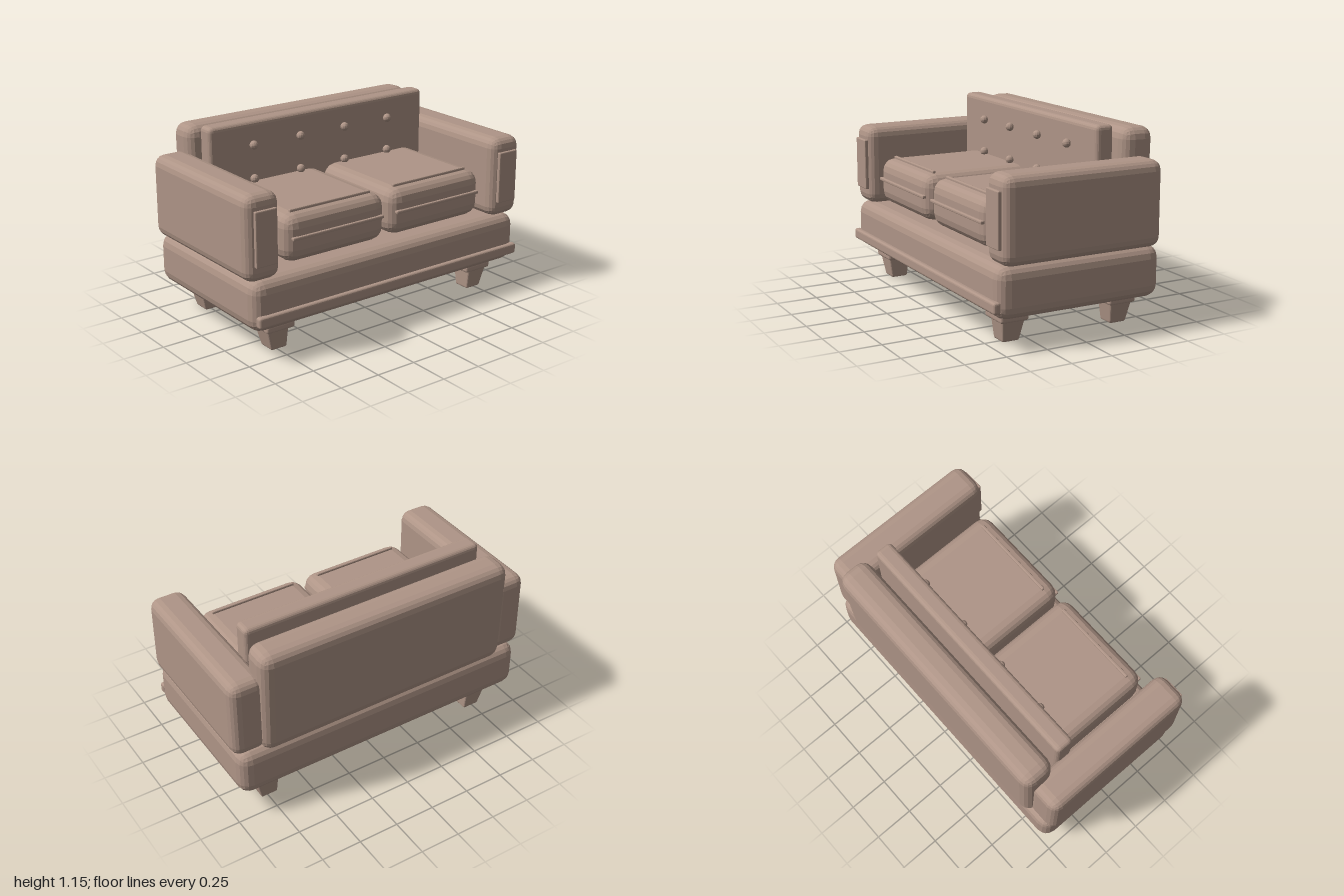
import * as THREE from 'three';
import { RoundedBoxGeometry } from 'three/addons/geometries/RoundedBoxGeometry.js';

export function createModel() {
  const sofa = new THREE.Group();
  sofa.name = 'sofa';
  const upholstery = new THREE.MeshStandardMaterial({ color: 0xaf9587, flatShading: true });
  upholstery.name = 'upholstery';

  const add = (name, geometry) => {
    const mesh = new THREE.Mesh(geometry, upholstery);
    mesh.name = name;
    sofa.add(mesh);
    return mesh;
  };
  // Rounded block given by its [min, max] extents
  const block = (name, [x0, x1], [y0, y1], [z0, z1], radius, segments = 2) => {
    const mesh = add(name, new RoundedBoxGeometry(x1 - x0, y1 - y0, z1 - z0, segments, radius));
    mesh.position.set((x0 + x1) / 2, (y0 + y1) / 2, (z0 + z1) / 2);
    return mesh;
  };
  const span = (centre, width) => [centre - width / 2, centre + width / 2];

  // Base with a trim rail along the front
  block('base', [-0.97, 0.97], [0.175, 0.48], [-0.514, 0.527], 0.075);
  block('frontRail', [-0.957, 0.957], [0.223, 0.289], [0.508, 0.553], 0.014);

  // Slightly reclined backrest and the tufted panel in front of it
  block('backrest', [-0.828, 0.828], [0.457, 1.133], [-0.543, -0.337], 0.07).rotation.x = -0.025;
  block('tuftedPanel', [-0.79, 0.79], [0.655, 1.155], [-0.295, -0.182], 0.028);

  // Two rows of buttons
  for (const y of [0.81, 1.015]) {
    for (const x of [-0.5, -0.167, 0.163, 0.497]) {
      add('button', new THREE.SphereGeometry(0.026, 12, 8)).position.set(x, y, -0.168);
    }
  }

  for (const side of [-1, 1]) {
    // Arm with a raised panel on its front
    block('arm', span(side * 0.888, 0.222), [0.475, 0.972], [-0.497, 0.511], 0.062);
    block('armPanel', span(side * 0.884, 0.14), [0.57, 0.89], [0.5, 0.527], 0.006, 1);

    // Seat cushion with piping on its front and top
    const cx = side * 0.366;
    block('cushion', span(cx, 0.702), [0.507, 0.792], [-0.31, 0.472], 0.08);
    block('frontPiping', span(cx, 0.636), span(0.661, 0.02), [0.46, 0.486], 0.006, 1);
    block('topPiping', span(cx, 0.56), [0.782, 0.806], span(0.39, 0.02), 0.006, 1);

    // Feet: a collar and a tapered leg leaning inward
    for (const z of [0.357, -0.345]) {
      block('footCollar', span(side * 0.744, 0.19), [0.123, 0.168], span(z, 0.176), 0.014);
      const geometry = new RoundedBoxGeometry(0.14, 0.2, 0.14, 2, 0.012);
      const p = geometry.attributes.position;
      for (let i = 0; i < p.count; i++) {
        const t = p.getY(i) / 0.2 + 0.5;
        const taper = 0.74 + 0.42 * t;
        p.setXYZ(i, p.getX(i) * taper + side * 0.024 * t, p.getY(i), p.getZ(i) * taper);
      }
      geometry.computeVertexNormals();
      add('leg', geometry).position.set(side * 0.738, 0.1, z);
    }
  }
  return sofa;
}
